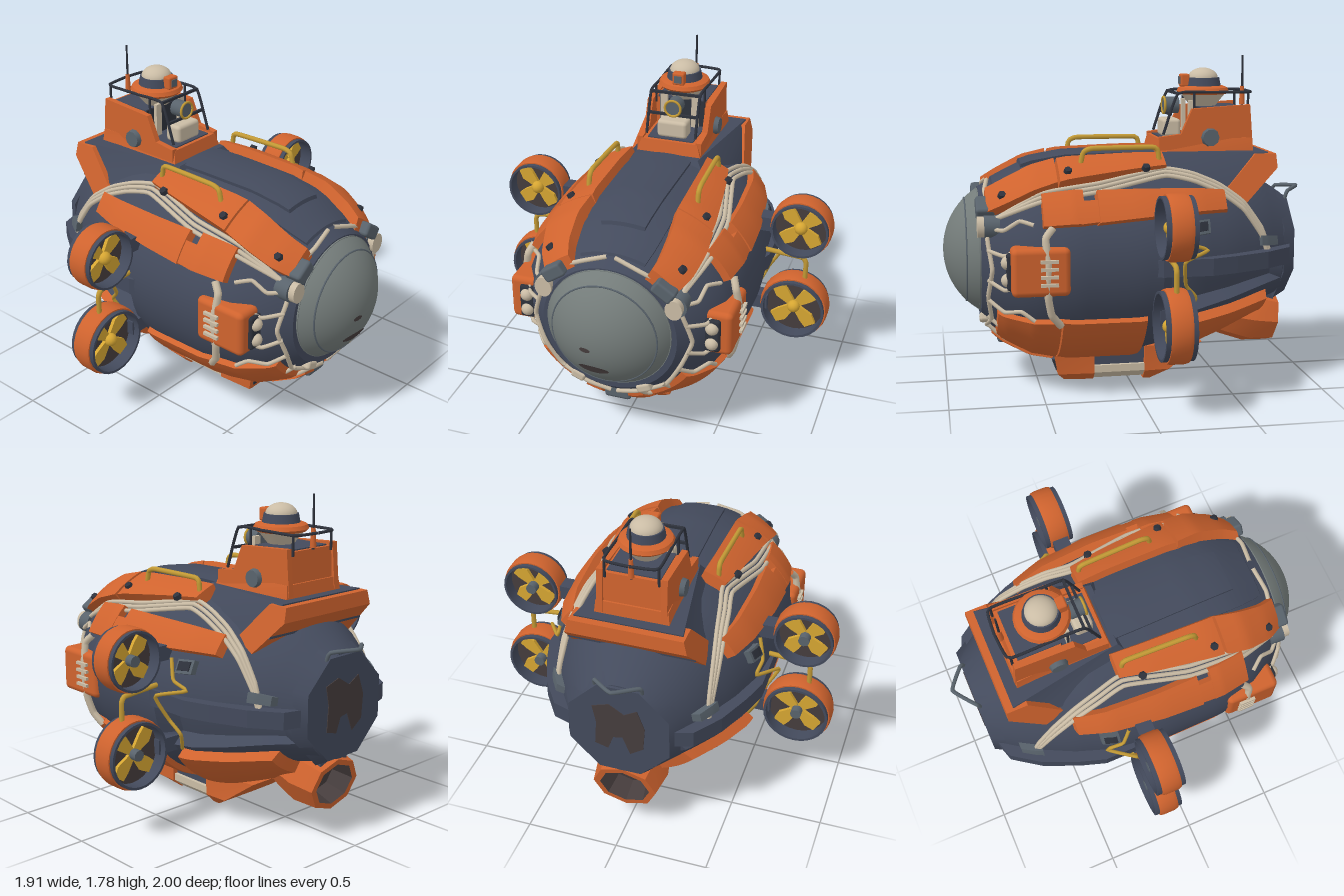
import * as THREE from 'three';
import { toCreasedNormals } from 'three/addons/utils/BufferGeometryUtils.js';
import { RoundedBoxGeometry } from 'three/addons/geometries/RoundedBoxGeometry.js';

const material = (name, color) => Object.assign(new THREE.MeshStandardMaterial({ color }), { name });

export function createModel() {
  const root = new THREE.Group();
  root.name = 'submarine';
  const navy = material('navy hull', 0x434a5c), orange = material('orange plating', 0xcf632e);
  const cream = material('cream', 0xcabca5), grey = material('dome grey', 0x747c7a);
  const yellow = material('yellow pipe', 0xc39a35), brass = material('propeller yellow', 0xd6a632);
  const dark = material('dark metal', 0x2e323c), rust = material('rust', 0x463d3d), steel = material('steel', 0x59636c);
  const V = (x, y, z) => new THREE.Vector3(x, y, z);
  const shape = (pts) => new THREE.Shape(pts.map((p) => new THREE.Vector2(...p)));

  const add = (name, geo, mat, x = 0, y = 0, z = 0, parent = root) => {
    const m = new THREE.Mesh(geo, mat);
    m.name = name;
    m.position.set(x, y, z);
    parent.add(m);
    return m;
  };
  const warp = (geo, rule) => {
    const p = geo.attributes.position, v = V(0, 0, 0);
    for (let i = 0; i < p.count; i++) {
      rule(v.fromBufferAttribute(p, i));
      p.setXYZ(i, v.x, v.y, v.z);
    }
    return toCreasedNormals(geo, 0.5);
  };

  // Hull stations: z, half width, height above and below the axis
  const CY = 0.72;
  const stations = [
    [-0.89, 0.27, 0.29, 0.27], [-0.7, 0.4, 0.42, 0.33], [-0.5, 0.5, 0.5, 0.42], [-0.3, 0.57, 0.53, 0.5],
    [0, 0.6, 0.535, 0.57], [0.35, 0.595, 0.525, 0.57], [0.55, 0.555, 0.49, 0.53], [0.7, 0.47, 0.42, 0.45], [0.81, 0.36, 0.36, 0.35],
  ];
  const section = (z) => {
    let i = 0;
    while (i < stations.length - 2 && z > stations[i + 1][0]) i++;
    const a = stations[i], b = stations[i + 1];
    const k = THREE.MathUtils.clamp((z - a[0]) / (b[0] - a[0]), 0, 1);
    return [1, 2, 3].map((j) => a[j] + (b[j] - a[j]) * k);
  };
  // Point on the hull; t is the angle from the top towards +x
  const onHull = (t, z, off = 0) => {
    const [rx, up, down] = section(z), c = Math.cos(t);
    return V(Math.sin(t) * (rx + off), CY + c * ((c > 0 ? up : down) + off), z);
  };
  // Bevelled slab that follows the hull between two stations
  const plate = (name, mat, z0, z1, back, front, off, s = 1) => {
    const flip = ([a, b]) => (s > 0 ? [a, b] : [-b, -a]);
    const b = flip(back), f = flip(front);
    add(name, warp(new THREE.BoxGeometry(1, 1, 1, 8, 1, 12), (p) => {
      const k = p.y > 0 ? 0.95 : 1, u = 0.5 + p.x * k, v = 0.5 + p.z * k;
      const t = (b[0] + (b[1] - b[0]) * u) * (1 - v) + (f[0] + (f[1] - f[0]) * u) * v;
      p.copy(onHull(t, z0 + (z1 - z0) * v, p.y > 0 ? off : -0.04));
    }), mat);
  };
  const tube = (name, mat, pts, r) =>
    add(name, new THREE.TubeGeometry(new THREE.CatmullRomCurve3(pts, false, 'catmullrom', 0.2), pts.length * 6, r, 7), mat);
  const hullPipe = (name, mat, pts, r, s) => tube(name, mat, pts.map(([t, z, o = 0.015]) => onHull(t * s, z, o)), r);
  // Block with separate bottom and top outlines: [back half width, front half width, back z, front z]
  const frustum = (name, mat, y0, y1, lo, hi) => add(name, warp(new THREE.BoxGeometry(1, 1, 1), (p) => {
    const q = p.y > 0 ? hi : lo, f = p.z > 0 ? 1 : 0;
    p.set(Math.sign(p.x) * q[f], p.y > 0 ? y1 : y0, q[2 + f]);
  }), mat);
  // Side outline (z, y) extruded across x
  const profile = (pts, x0, x1) => new THREE.ExtrudeGeometry(shape(pts),
    { depth: x1 - x0, bevelEnabled: false }).rotateY(-Math.PI / 2).translate(x1, 0, 0);
  const lathe = (pts, n) => toCreasedNormals(new THREE.LatheGeometry(pts.map((p) => new THREE.Vector2(...p)), n), 0.6);
  const discZ = (r, d, n = 20) => new THREE.CylinderGeometry(r, r, d, n).rotateX(Math.PI / 2);

  // Hull, drawn in below the side shelves, and stern cap
  add('hull', warp(new THREE.CylinderGeometry(1, 1, 1, 48, 26).rotateX(Math.PI / 2), (p) => {
    const z = -0.04 + p.z * 1.7, [rx, up, down] = section(z);
    const recess = p.y < -0.05 && p.y > -0.45 && z < -0.12 && z > -0.82 ? 0.82 : 1;
    p.set(p.x * rx * recess, CY + p.y * (p.y > 0 ? up : down), z);
  }), navy);
  add('sternCap', new THREE.CylinderGeometry(0.29, 0.33, 0.07, 8).rotateY(Math.PI / 8).rotateX(-Math.PI / 2), navy, 0, 0.73, -0.865);
  const stain = shape([[-0.13, -0.1], [-0.06, -0.15], [-0.02, -0.05], [0.03, -0.06], [0.06, -0.14], [0.13, -0.12],
    [0.12, 0.02], [0.14, 0.12], [0.05, 0.15], [-0.03, 0.1], [-0.1, 0.14], [-0.14, 0.03]]);
  add('sternStain', new THREE.ExtrudeGeometry(stain, { depth: 0.006, bevelEnabled: false }), rust, 0, 0.74, -0.904);
  tube('towHook', steel, [V(-0.12, 0.94, -0.87), V(-0.12, 1.03, -0.9), V(0, 1.045, -0.99), V(0.12, 1.03, -0.9), V(0.12, 0.94, -0.87)], 0.011);

  // Bow dome: a spherical cap with a seam and two worn spots
  const DR = 0.39, DZ = 0.61, DY = 0.74;
  const capZ = (x, y) => DZ + Math.sqrt(DR * DR - x * x - y * y);
  add('bowDome', new THREE.SphereGeometry(DR, 48, 16, 0, Math.PI * 2, 0, Math.asin(0.33 / DR)).rotateX(Math.PI / 2), grey, 0, DY, DZ);
  add('domeSeam', new THREE.TorusGeometry(0.28, 0.005, 6, 48), steel, 0, DY, capZ(0.28, 0));
  add('domeRim', discZ(0.333, 0.06, 48), grey, 0, DY, 0.788);
  for (const [x, y, w, h] of [[-0.06, -0.03, 0.03, 0.014], [-0.03, -0.16, 0.085, 0.026]]) {
    add('domeScuff', warp(new THREE.CircleGeometry(1, 14), (p) => {
      p.set(x + p.x * w, y + p.y * h, 0);
      p.z = capZ(p.x, p.y) + 0.005;
    }), rust, 0, DY, 0);
  }

  // Spine along the top
  plate('spine', navy, -0.2, 0.76, [-0.36, 0.36], [-0.42, 0.42], 0.012);
  plate('spineRidge', navy, -0.15, 0.6, [-0.25, 0.25], [-0.22, 0.22], 0.03);
  add('lowerBowBox', new RoundedBoxGeometry(0.15, 0.1, 0.12, 1, 0.02), steel, 0, 0.27, 0.66);

  for (const s of [-1, 1]) {
    // Armour plates
    plate('topBand', orange, -0.18, 0.42, [0.34, 0.56], [0.36, 0.72], 0.06, s);
    plate('topBandFront', orange, 0.41, 0.79, [0.36, 0.72], [0.5, 0.9], 0.065, s);
    plate('shoulderPlate', orange, -0.48, 0.24, [0.82, 1.04], [0.8, 1.14], 0.045, s);
    plate('shoulderPlateFront', orange, 0.29, 0.51, [0.78, 1.14], [0.78, 1.14], 0.04, s);
    plate('shoulderPlateLink', orange, 0.2, 0.32, [0.9, 1.12], [0.9, 1.14], 0.038, s);
    plate('bilgePlateFront', orange, 0.41, 0.74, [2.05, 2.78], [2.15, 2.7], 0.032, s);
    plate('bilgePlate', orange, -0.04, 0.42, [2.05, 2.78], [2.05, 2.78], 0.028, s);
    plate('bilgePlateRear', orange, -0.74, -0.22, [2.25, 2.95], [2.12, 2.8], 0.06, s);
    plate('chinPlate', orange, 0.42, 0.76, [2.84, 3.02], [2.78, 2.98], 0.04, s);
    // Side shelf running back to the stern
    const shelf = [[0.28, -0.87], [0.375, -0.84], [0.48, -0.69], [0.56, -0.5], [0.605, -0.36], [0.605, -0.1], [0.57, -0.03], [0.4, -0.03], [0.28, -0.5]];
    add('sideShelf', new THREE.ExtrudeGeometry(shape(shelf.map(([x, z]) => [x * s, z])), { depth: 0.09, bevelEnabled: false }).rotateX(Math.PI / 2), navy, 0, 0.765, 0);
    for (const [t, z] of [[0.6, 0.36], [0.72, 0.7], [0.6, -0.05]]) {
      const b = onHull(t * s, z, 0.065);
      add('bolt', new THREE.CylinderGeometry(0.02, 0.024, 0.025, 6), dark, b.x, b.y, b.z).rotation.z = -t * s;
    }
    plate('sideVent', steel, -0.36, -0.26, [1.12, 1.26], [1.14, 1.28], 0.03, s);
    plate('sideVentGrille', dark, -0.345, -0.275, [1.145, 1.235], [1.16, 1.25], 0.036, s);
    plate('pipeClamp', steel, -0.77, -0.66, [1.3, 1.42], [1.3, 1.42], 0.045, s);

    // Pipes over the hull
    for (const d of [0, 0.05, 0.1]) {
      hullPipe('sidePipe', cream, [[0.95, 0.74], [0.76 + d, 0.5, 0.02], [0.7 + d, 0.2, 0.02], [0.55 + d, -0.15, 0.03],
        [0.62 + d, -0.3, 0.03], [0.74 + d, -0.44, 0.03], [0.92 + d, -0.57, 0.03], [1.2 + d, -0.67, 0.02], [1.46 + d, -0.71, 0.02]], 0.012, s);
    }
    hullPipe('verticalPipe', cream, [[1.15, 0.46, 0.03], [1.25, 0.5, 0.04], [1.5, 0.49, 0.03], [1.8, 0.49, 0.03], [1.98, 0.47, 0.035], [2.1, 0.42, 0.03]], 0.02, s);
    for (const t of [1.05, 1.35, 1.75, 2.05, 2.4, 2.75]) {
      hullPipe('bowPipe', cream, [[t, 0.78], [t + 0.06, 0.7], [t - 0.02, 0.62], [t + 0.05, 0.55]], 0.011, s);
    }
    hullPipe('bowRingPipe', cream, [0.05, 0.4, 0.8, 1.2, 1.6, 2, 2.4, 2.8, 3.1].map((t, i) => [t, 0.76 + 0.02 * (i % 2), 0.015]), 0.012, s);
    hullPipe('yellowPipe', yellow, [[1.15, -0.2], [1.35, -0.25], [1.42, -0.34], [1.5, -0.2, 0.08], [1.75, -0.22], [1.9, -0.28], [2.1, -0.24]], 0.01, s);
    tube('thrusterPipe', yellow, [V(0.56, 0.79, -0.12), V(0.68, 0.78, -0.12), V(0.79, 0.77, -0.12), V(0.81, 0.74, -0.12), V(0.81, 0.64, -0.12)].map((p) => p.setX(p.x * s)), 0.014);
    tube('handrail', yellow, [V(0.3, 1.2, 0.29), V(0.3, 1.29, 0.27), V(0.3, 1.31, 0.22), V(0.29, 1.31, -0.1), V(0.29, 1.29, -0.13), V(0.29, 1.2, -0.14)].map((p) => p.setX(p.x * s)), 0.014);

    // Headlight pod
    add('lightPod', new RoundedBoxGeometry(0.15, 0.25, 0.3, 2, 0.03), orange, s * 0.53, 0.72, 0.525);
    add('lightFrame', new RoundedBoxGeometry(0.085, 0.19, 0.05, 1, 0.015), dark, s * 0.505, 0.715, 0.67);
    for (const y of [0.67, 0.76]) add('headlight', new THREE.SphereGeometry(0.036, 14, 10), cream, s * 0.505, y, 0.687);
    for (let i = 0; i < 4; i++) add('podRib', new THREE.BoxGeometry(0.04, 0.016, 0.09), cream, s * 0.602, 0.66 + i * 0.04, 0.485);
    // Bow lamps
    add('bowLamp', discZ(0.05, 0.09).scale(0.9, 1.1, 1), cream, s * 0.345, 0.92, 0.785);
    add('bowLampHousing', discZ(0.06, 0.08), steel, s * 0.345, 0.92, 0.755);
    add('bowBox', new RoundedBoxGeometry(0.12, 0.075, 0.1, 1, 0.015), steel, s * 0.29, 1.01, 0.785).rotation.z = -s * 0.6;
    add('lowerBowLamp', new RoundedBoxGeometry(0.08, 0.05, 0.06, 1, 0.015), cream, s * 0.18, 0.4, 0.79).rotation.z = s * 0.4;

    // Ducted propellers
    for (const [x, y, R] of [[0.775, 0.965, 0.17], [0.762, 0.462, 0.192]]) {
      const g = new THREE.Group();
      g.name = 'thruster';
      g.position.set(x * s, y, -0.125);
      root.add(g);
      add('duct', lathe([[R * 0.9, -0.055], [R * 0.97, -0.055], [R, -0.035], [R, 0.035], [R * 0.97, 0.055], [R * 0.9, 0.055]], 28).rotateX(Math.PI / 2), orange, 0, 0, 0, g);
      add('ductLiner', lathe([[R * 0.86, -0.08], [R * 0.93, -0.08], [R * 0.93, 0.08], [R * 0.86, 0.08], [R * 0.86, -0.08]], 28).rotateX(Math.PI / 2), navy, 0, 0, 0, g);
      add('backDisc', discZ(R * 0.88, 0.01, 28), rust, 0, 0, 0, g);
      const blade = shape([[0.015, 0], [0.04, R * 0.5], [0.044, R * 0.74], [-0.02, R * 0.82], [-0.04, R * 0.55], [-0.015, 0]]);
      for (let i = 0; i < 4; i++) {
        add('blade', new THREE.ExtrudeGeometry(blade, { depth: 0.05, bevelEnabled: false }).translate(0, 0, -0.025), brass, 0, 0, 0, g).rotation.z = Math.PI * (0.25 + i / 2);
      }
      add('hub', new THREE.SphereGeometry(0.036, 14, 10), brass, 0, 0, 0.03, g);
      add('axle', discZ(0.03, 0.1, 12), steel, 0, 0, -0.02, g);
      add('strut', new THREE.BoxGeometry(0.14, 0.08, 0.09), navy, s * 0.54, y, -0.125);
    }
  }

  // Keel skid: chamfered blocks around a cream middle band, with a dark intake at the front
  frustum('keelFrontBase', orange, 0.01, 0.06, [0.14, 0.12, 0.2, 0.36], [0.2, 0.19, 0.2, 0.4]);
  frustum('keelFront', orange, 0.06, 0.17, [0.2, 0.19, 0.2, 0.4], [0.2, 0.2, 0.2, 0.42]);
  frustum('keelBandBase', cream, 0.018, 0.06, [0.14, 0.14, -0.08, 0.2], [0.19, 0.19, -0.08, 0.2]);
  frustum('keelBand', cream, 0.06, 0.1, [0.19, 0.19, -0.08, 0.2], [0.19, 0.19, -0.08, 0.2]);
  frustum('keelCore', navy, 0.1, 0.21, [0.17, 0.17, -0.08, 0.2], [0.17, 0.17, -0.08, 0.2]);
  frustum('keelRearBase', orange, 0, 0.06, [0.14, 0.14, -0.12, -0.08], [0.19, 0.2, -0.22, -0.08]);
  frustum('keelRear', orange, 0.06, 0.2, [0.19, 0.2, -0.22, -0.08], [0.16, 0.2, -0.41, -0.08]);
  add('keelIntake', new THREE.BoxGeometry(0.33, 0.06, 0.008), dark, 0, 0.11, 0.411).rotation.x = 0.18;
  frustum('keelMouth', navy, 0.14, 0.2, [0.17, 0.17, 0.2, 0.425], [0.12, 0.1, 0.2, 0.5]);

  // Stern nozzle, tipped downwards
  const nozzle = (name, pts, mat) => {
    const m = add(name, lathe(pts, 8).rotateX(-Math.PI / 2), mat, 0, 0.43, 0);
    m.scale.x = 1.2;
    m.rotation.x = -0.16;
  };
  nozzle('sternNozzle', [[0, 0.35], [0.1, 0.42], [0.14, 0.58], [0.165, 0.72], [0.145, 0.86], [0.115, 0.86]], orange);
  nozzle('nozzleInside', [[0.115, 0.86], [0.095, 0.74], [0, 0.74]], rust);
  add('nozzleBracket', new THREE.BoxGeometry(0.2, 0.14, 0.2), navy, 0, 0.46, -0.74);

  // Tower deck and rear collar
  frustum('deck', navy, 1.1, 1.272, [0.34, 0.3, -0.7, 0], [0.285, 0.18, -0.735, -0.11]);
  add('deckCollar', warp(profile([[-0.48, 1.07], [-0.6, 1.01], [-0.78, 1.19], [-0.775, 1.265], [-0.66, 1.265]], -0.3, 0.3),
    (p) => { p.x *= 1 + (1.27 - p.y) * 0.8; }), orange);

  // Tower
  frustum('towerBase', orange, 1.25, 1.34, [0.2, 0.19, -0.68, -0.14], [0.19, 0.16, -0.67, -0.16]);
  frustum('towerFloor', navy, 1.335, 1.346, [0.14, 0.13, -0.5, -0.18], [0.14, 0.13, -0.5, -0.18]);
  frustum('towerBody', orange, 1.33, 1.5, [0.17, 0.16, -0.66, -0.4], [0.16, 0.15, -0.65, -0.4]);
  frustum('towerFrontPanel', dark, 1.345, 1.5, [0.13, 0.13, -0.42, -0.392], [0.13, 0.13, -0.42, -0.392]);
  frustum('towerTop', navy, 1.495, 1.506, [0.14, 0.14, -0.63, -0.392], [0.14, 0.14, -0.63, -0.392]);
  for (const s of [-1, 1]) {
    const x = s * 0.168;
    add('towerWall', profile([[-0.68, 1.28], [-0.16, 1.28], [-0.16, 1.35], [-0.28, 1.365], [-0.34, 1.5], [-0.66, 1.52]], x - 0.016, x + 0.016), orange);
    add('towerPort', new THREE.CylinderGeometry(0.045, 0.052, 0.03, 10).rotateZ(-s * Math.PI / 2), steel, s * 0.195, 1.345, -0.44);
    tube('railing', dark, [V(s * 0.14, 1.36, -0.19), V(s * 0.14, 1.58, -0.27), V(s * 0.14, 1.585, -0.45), V(s * 0.14, 1.585, -0.67), V(0, 1.585, -0.69)], 0.008);
    for (const z of [-0.36, -0.66]) add('railPost', new THREE.CylinderGeometry(0.007, 0.007, 0.11, 6), dark, s * 0.14, 1.535, z);
    add('windowPost', new THREE.BoxGeometry(0.04, 0.18, 0.02), cream, s * 0.09, 1.45, -0.35);
  }
  for (const [y, z] of [[1.58, -0.27], [1.47, -0.23]]) add('frontRail', new THREE.BoxGeometry(0.28, 0.014, 0.014), dark, 0, y, z);
  add('frontScreen', new RoundedBoxGeometry(0.17, 0.1, 0.1, 2, 0.02), cream, 0, 1.39, -0.25);
  add('searchlight', discZ(0.045, 0.08), steel, 0, 1.51, -0.26);
  add('searchlightRing', new THREE.TorusGeometry(0.045, 0.007, 8, 20), yellow, 0, 1.51, -0.22);

  // Lookout dome and mast
  add('neck', new THREE.CylinderGeometry(0.125, 0.07, 0.07, 24), cream, 0, 1.54, -0.44);
  add('lookoutRing', lathe([[0, 1.57], [0.13, 1.57], [0.145, 1.585], [0.135, 1.605], [0.11, 1.615], [0, 1.615]], 24), orange, 0, 0, -0.44);
  add('lookoutCollar', new THREE.CylinderGeometry(0.09, 0.1, 0.05, 24), navy, 0, 1.635, -0.44);
  add('lookoutDome', new THREE.SphereGeometry(0.083, 24, 10, 0, Math.PI * 2, 0, Math.PI / 2).scale(1, 0.7, 1), cream, 0, 1.655, -0.44);
  add('lookoutBox', new RoundedBoxGeometry(0.07, 0.07, 0.05, 1, 0.01), orange, 0, 1.645, -0.335);
  add('lookoutLens', new THREE.BoxGeometry(0.04, 0.04, 0.008), steel, 0, 1.645, -0.309);
  add('mast', new THREE.CylinderGeometry(0.005, 0.008, 0.28, 6), dark, 0, 1.64, -0.665);
  add('mastBase', new THREE.CylinderGeometry(0.011, 0.017, 0.1, 8), orange, 0, 1.56, -0.665);
  return root;
}
